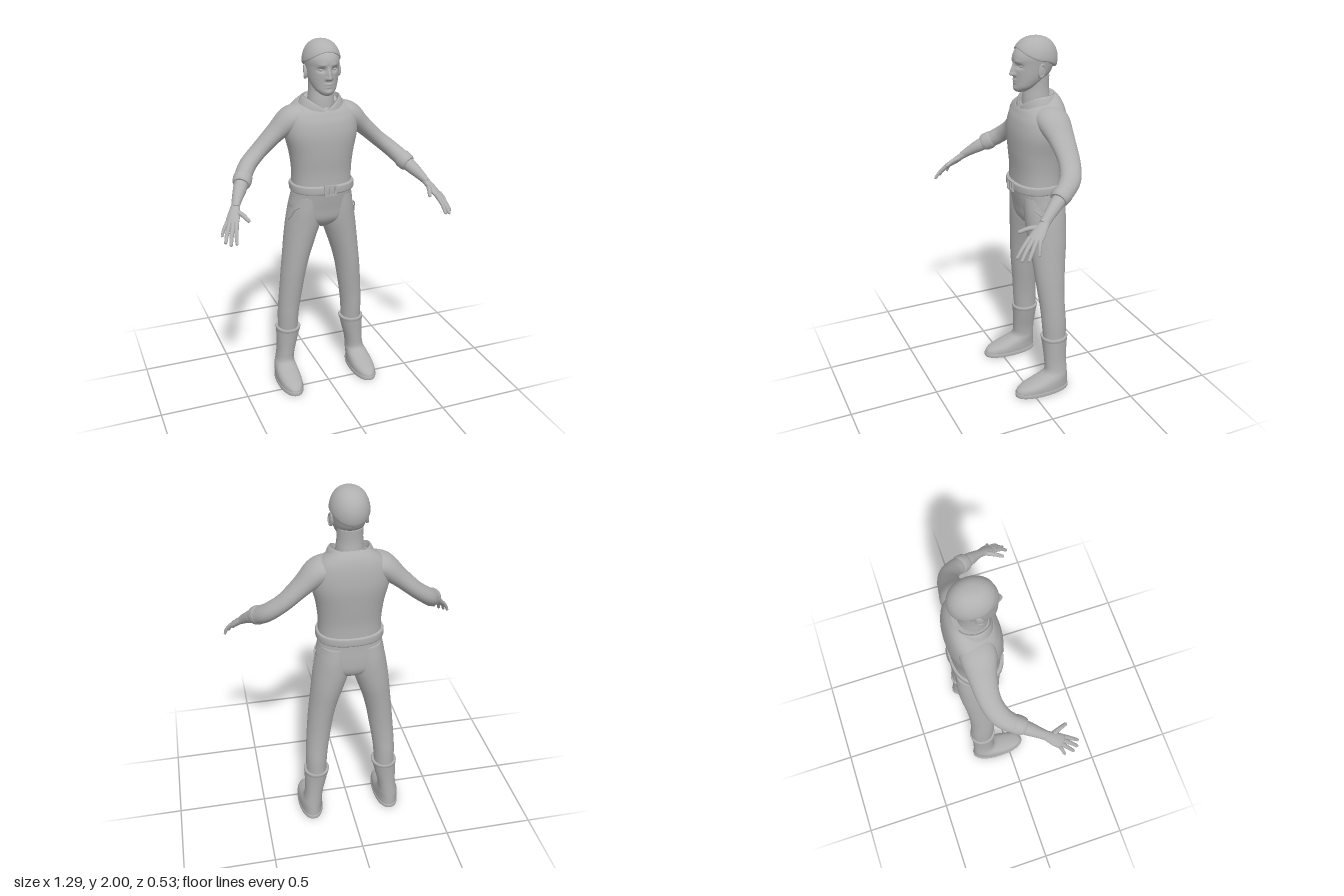
import * as THREE from 'three';

const V = (x, y, z) => new THREE.Vector3(x, y, z);
const lerp = THREE.MathUtils.lerp;
const gauss = (d, w) => Math.exp(-(d * d) / (w * w));

// Surface through closed rings of points, with optional flat end caps
function skin(rings, caps = true) {
  const n = rings[0].length, pos = [], idx = [];
  rings.forEach(r => r.forEach(p => pos.push(p.x, p.y, p.z)));
  for (let i = 0; i < rings.length - 1; i++) {
    for (let j = 0; j < n; j++) {
      const a = i * n + j, b = i * n + (j + 1) % n;
      idx.push(a, a + n, b, b, a + n, b + n);
    }
  }
  if (caps) [rings[0], rings[rings.length - 1]].forEach((r, end) => {
    const base = pos.length / 3, mid = V(0, 0, 0);
    r.forEach(p => { pos.push(p.x, p.y, p.z); mid.addScaledVector(p, 1 / n); });
    pos.push(mid.x, mid.y, mid.z);
    for (let j = 0; j < n; j++) {
      const a = base + j, b = base + (j + 1) % n;
      idx.push(...(end ? [a, base + n, b] : [a, b, base + n]));
    }
  });
  const g = new THREE.BufferGeometry();
  g.setAttribute('position', new THREE.Float32BufferAttribute(pos, 3));
  g.setIndex(idx);
  g.computeVertexNormals();
  return g;
}

// Ring of points from a rule of the angle
const ring = (n, f) => Array.from({ length: n }, (_, j) => f(j / n * Math.PI * 2));

// Smooth in-between rows of a table
function smoothRows(rows, steps) {
  const out = [], at = i => rows[Math.max(0, Math.min(rows.length - 1, i))];
  for (let i = 0; i < rows.length - 1; i++) {
    for (let s = 0; s < steps; s++) {
      const t = s / steps, [a, b, c, d] = [at(i - 1), at(i), at(i + 1), at(i + 2)];
      out.push(b.map((v, k) => v + 0.5 * t * (c[k] - a[k] + t * (2 * a[k] - 5 * v + 4 * c[k] - d[k]
        + t * (3 * (v - c[k]) + d[k] - a[k])))));
    }
  }
  out.push(rows[rows.length - 1]);
  return out;
}

// Level sections, bottom to top: [y, centre x, half width, front z, back z, tilt]
function loft(rows, { steps = 5, n = 48, p = 2, shape = null } = {}) {
  const pow = v => Math.sign(v) * Math.abs(v) ** (2 / p);
  return skin(smoothRows(rows, steps).map(([y, cx, rx, zf, zb, tilt = 0]) => ring(n, a => {
    const dz = (zf - zb) / 2 * pow(Math.sin(a));
    const v = V(cx + rx * pow(Math.cos(a)), y - tilt * dz, (zf + zb) / 2 + dz);
    if (shape) shape(v, a);
    return v;
  })));
}

// Limb along a path: rows [x, y, z, thickness, width], width lying along ref
function limb(rows, ref, steps = 5, n = 24) {
  const pts = smoothRows(rows, steps);
  return skin(pts.map(([x, y, z, ru, rv], i) => {
    const q = pts[Math.min(i + 1, pts.length - 1)], o = pts[Math.max(i - 1, 0)];
    const t = V(q[0] - o[0], q[1] - o[1], q[2] - o[2]).normalize();
    const u = t.clone().cross(ref).normalize(), v = u.clone().cross(t);
    return ring(n, a => V(x, y, z).addScaledVector(u, ru * Math.cos(a)).addScaledVector(v, rv * Math.sin(a)));
  }));
}

function mirrorX(geo) {
  const g = geo.clone().scale(-1, 1, 1), ix = g.index;
  for (let i = 0; i < ix.count; i += 3) {
    const b = ix.getX(i + 1);
    ix.setX(i + 1, ix.getX(i + 2));
    ix.setX(i + 2, b);
  }
  return g;
}

export function createModel() {
  const model = new THREE.Group();
  model.name = 'standingMan';
  const grey = new THREE.MeshStandardMaterial({ color: 0xb0b0b0 });
  grey.name = 'plain grey';
  const add = (name, geo) => {
    const m = new THREE.Mesh(geo, grey);
    m.name = name;
    model.add(m);
  };
  const pair = (name, geo) => { add(name + 'Left', geo); add(name + 'Right', mirrorX(geo)); };

  // Head with a sculpted face
  add('head', loft([
    [1.722, 0, .022, -.005, -.06], [1.731, 0, .036, .003, -.08], [1.75, 0, .056, .006, -.11],
    [1.78, 0, .071, .006, -.155], [1.81, 0, .08, .007, -.188], [1.84, 0, .085, .008, -.205],
    [1.87, 0, .089, .008, -.215], [1.9, 0, .092, .01, -.222], [1.93, 0, .089, -.004, -.22],
    [1.96, 0, .07, -.035, -.19], [1.985, 0, .038, -.07, -.15],
  ], { steps: 7, n: 120, shape: (v, a) => {
    if (Math.sin(a) < 0.3) return;
    const x = v.x, ax = Math.abs(x), y = v.y;
    const ridge = y > 1.812 ? Math.max(0, Math.min(1, (1.88 - y) / .06)) : gauss(y - 1.812, .007);
    v.z += .026 * ridge * gauss(x, .012) + .008 * gauss(ax - .013, .008) * gauss(y - 1.814, .008)
      - .014 * gauss(ax - .035, .018) * gauss(y - 1.857, .011)
      + .005 * gauss(ax - .032, .024) * gauss(y - 1.882, .009)
      + .007 * gauss(x, .02) * gauss(y - 1.783, .005) + .006 * gauss(x, .018) * gauss(y - 1.769, .005)
      + .006 * gauss(x, .02) * gauss(y - 1.742, .012);
  } }));
  pair('eye', new THREE.SphereGeometry(.012, 20, 14).scale(1.2, .8, 1).translate(.035, 1.857, -.02));
  pair('ear', new THREE.SphereGeometry(1, 20, 16).scale(.01, .035, .02).rotateX(-.2).rotateY(.25).translate(.088, 1.834, -.105));
  pair('earRim', new THREE.TorusGeometry(.022, .005, 10, 28).rotateY(Math.PI / 2).scale(1, 1.4, .8)
    .rotateX(-.2).rotateY(.25).translate(.094, 1.838, -.106));

  // Hair cap, high at the forehead and low at the nape
  const hairRow = (s, k) => ring(72, a => {
    const f = Math.sin(a), e = Math.abs(f) ** 1.5;
    const edge = f > 0 ? lerp(1.885, 1.945, e) : lerp(1.885, 1.835, e);
    const th = Math.acos((edge - 1.885) / .115) * (1 - s), r = Math.sin(th) ** .85 * k;
    return V(.1 * r * Math.cos(a), 1.885 + .115 * Math.cos(th), -.11 + .122 * r * f);
  });
  add('hair', skin([hairRow(0, .86), hairRow(0, .97),
    ...Array.from({ length: 20 }, (_, i) => hairRow(.03 + .968 * i / 19, 1))]));

  add('neck', loft([[1.6, 0, .078, -.04, -.2], [1.68, 0, .072, -.045, -.193],
    [1.74, 0, .066, -.055, -.186], [1.8, 0, .066, -.055, -.188]]));

  // Shirt body, collar and rolled sleeves
  add('shirt', loft([
    [1.215, 0, .167, .01, -.245, 0], [1.3, 0, .166, .01, -.245, 0], [1.4, 0, .178, .018, -.256, 0],
    [1.5, 0, .201, .02, -.266, 0], [1.57, 0, .2, .008, -.264, 0], [1.62, 0, .182, -.008, -.255, .1],
    [1.655, 0, .146, -.022, -.24, .2], [1.68, 0, .1, -.04, -.215, .35],
  ], { p: 2.3, n: 64 }));
  const collarRow = (rx, rz, dy) => ring(64, a => V(rx * Math.cos(a),
    1.702 + dy - (Math.sin(a) > 0 ? .066 * (1 - Math.abs(Math.cos(a))) : 0), -.122 + rz * Math.sin(a)));
  add('collar', skin([collarRow(.122, .104, -.036), collarRow(.112, .1, -.012), collarRow(.102, .095, .003),
    collarRow(.095, .088, .003), collarRow(.09, .082, -.035)], false));
  const zAxis = V(0, 0, 1);
  pair('sleeve', limb([
    [.09, 1.615, -.135, .05, .085], [.165, 1.585, -.14, .066, .09], [.25, 1.513, -.147, .05, .07],
    [.34, 1.43, -.143, .043, .058], [.41, 1.37, -.115, .044, .055], [.45, 1.33, -.07, .045, .05],
    [.478, 1.3, -.02, .043, .043],
  ], zAxis, 6, 36));
  pair('sleeveRoll', limb([[.456, 1.323, -.06, .046, .048], [.462, 1.317, -.049, .05, .051],
    [.475, 1.302, -.024, .049, .049], [.482, 1.295, -.012, .043, .043]], zAxis, 3, 36));

  // Forearms and hands
  pair('forearm', limb([[.462, 1.315, -.05, .036, .036], [.493, 1.281, .005, .036, .036],
    [.523, 1.246, .055, .027, .029], [.546, 1.215, .095, .019, .026]], zAxis, 5, 28));
  const across = V(.69, -.08, -.72);
  pair('palm', limb([[.537, 1.226, .08, .019, .023], [.555, 1.2, .11, .019, .03],
    [.57, 1.176, .138, .018, .037], [.583, 1.156, .164, .013, .037], [.587, 1.149, .171, .005, .032]], across));
  const fingers = {
    indexFinger: [[.562, 1.166, .178], [.577, 1.125, .222], [.585, 1.08, .257], .0105],
    middleFinger: [[.578, 1.16, .17], [.599, 1.117, .213], [.613, 1.073, .245], .011],
    ringFinger: [[.592, 1.157, .157], [.617, 1.118, .19], [.633, 1.078, .217], .0105],
    littleFinger: [[.602, 1.16, .143], [.624, 1.13, .156], [.638, 1.096, .165], .009],
    thumb: [[.547, 1.2, .115], [.525, 1.195, .165], [.506, 1.176, .212], .012],
  };
  for (const [name, [a, b, c, r]] of Object.entries(fingers)) {
    const tip = c.map((v, i) => v + (v - b[i]) * .1), back = c.map((v, i) => v - (v - b[i]) * .12);
    pair(name, limb([[...a, r * 1.2, r * 1.2], [...b, r, r], [...back, r * .8, r * .8],
      [...c, r * .6, r * .6], [...tip, r * .1, r * .1]], across, 4, 14));
  }

  // Belt and two-slot buckle
  add('belt', loft([[1.187, 0, .166, .015, -.245], [1.188, 0, .176, .024, -.254], [1.195, 0, .18, .027, -.257],
    [1.225, 0, .18, .027, -.257], [1.232, 0, .176, .024, -.254], [1.233, 0, .16, .01, -.24]], { steps: 1, p: 2.3, n: 64 }));
  const rect = (S, x0, x1, h) => new S([[x0, -h], [x1, -h], [x1, h], [x0, h]].map(q => new THREE.Vector2(...q)));
  const frame = rect(THREE.Shape, -.034, .034, .029);
  frame.holes.push(rect(THREE.Path, -.025, -.005, .02), rect(THREE.Path, .005, .025, .02));
  add('buckle', new THREE.ExtrudeGeometry(frame, { depth: .012, bevelEnabled: false }).translate(0, 1.21, .022));

  // Trousers
  add('trouserSeat', loft([[.965, 0, .035, -.08, -.18], [.99, 0, .1, -.045, -.225], [1.03, 0, .17, -.018, -.247],
    [1.09, 0, .184, -.008, -.25], [1.15, 0, .174, .003, -.247], [1.21, 0, .166, .012, -.245]], { p: 2.2 }));
  pair('trouserLeg', loft([
    [.33, .2, .057, -.088, -.222], [.42, .197, .06, -.08, -.222], [.5, .19, .063, -.074, -.217],
    [.6, .178, .067, -.062, -.216], [.7, .165, .071, -.05, -.222], [.8, .147, .078, -.04, -.232],
    [.9, .125, .089, -.03, -.245], [1, .103, .098, -.02, -.251], [1.08, .095, .091, -.014, -.251],
    [1.16, .087, .08, -.012, -.243],
  ]));
  pair('pocketSeam', new THREE.TubeGeometry(new THREE.CatmullRomCurve3(
    [V(.156, 1.11, -.04), V(.176, 1.09, -.06), V(.186, 1.05, -.085), V(.198, 1.02, -.115)]), 20, .004, 8));

  // Boots and soles
  pair('boot', loft([
    [.012, .23, .066, .096, -.224], [.035, .23, .067, .092, -.224], [.055, .23, .066, .066, -.223],
    [.08, .229, .062, -.005, -.222], [.1, .227, .057, -.06, -.221], [.125, .224, .052, -.088, -.22],
    [.18, .217, .052, -.09, -.219], [.25, .208, .06, -.086, -.221], [.32, .2, .068, -.08, -.227],
  ], { p: 2.2 }));
  pair('bootRim', loft([[.312, .2, .064, -.084, -.222], [.314, .2, .07, -.078, -.228], [.33, .199, .072, -.076, -.23],
    [.333, .199, .069, -.079, -.227]], { steps: 1, p: 2.1 }));
  pair('sole', loft([[0, .23, .068, .098, -.227], [.006, .23, .07, .1, -.229], [.02, .23, .07, .1, -.229],
    [.023, .23, .066, .095, -.225]], { steps: 1, p: 2.2 }));

  return model;
}
